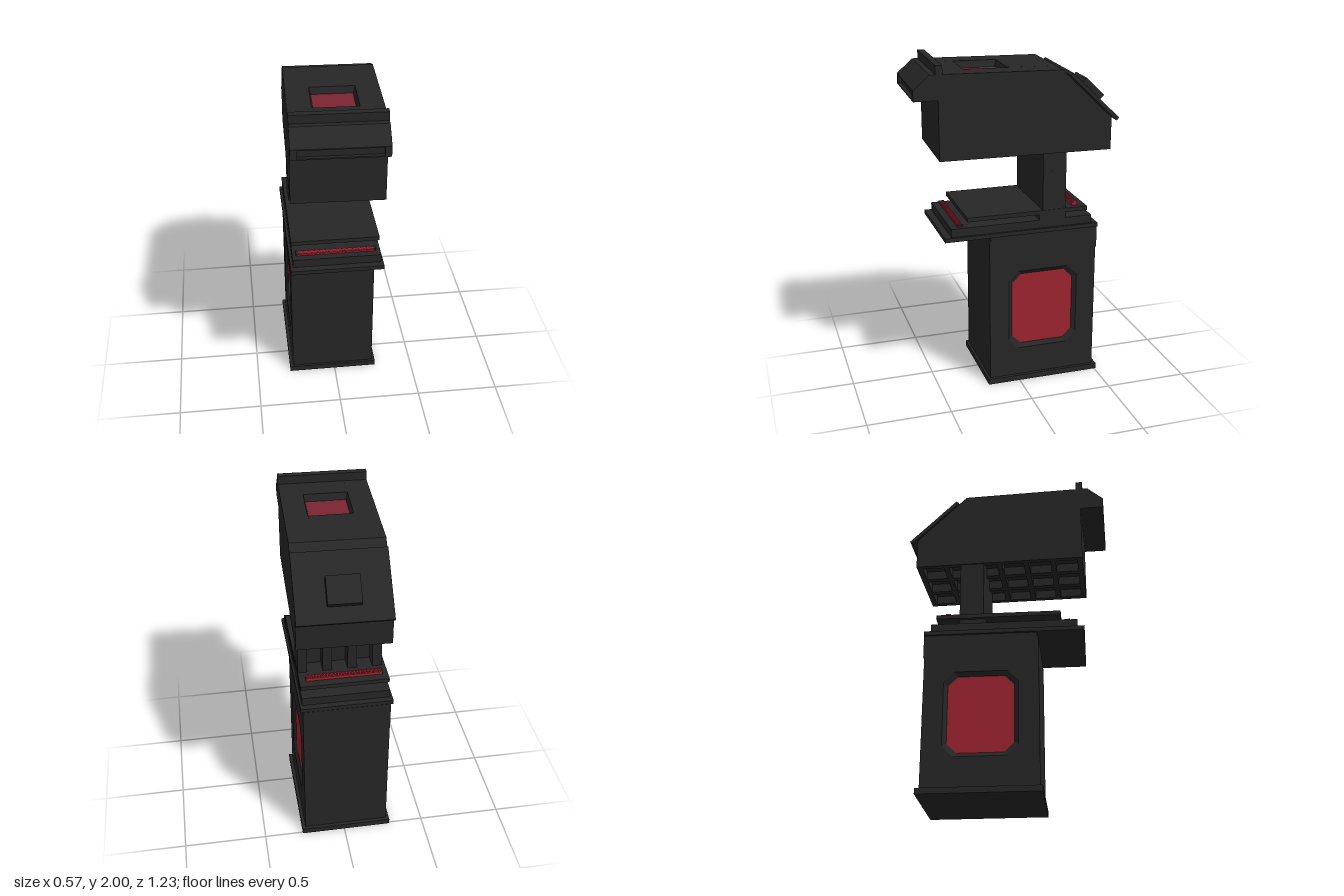
import * as THREE from 'three';

const mat = (name, color) => {
  const m = new THREE.MeshStandardMaterial({ color });
  m.name = name;
  return m;
};

export function createModel() {
  const dark = mat('charcoal', 0x262627);
  const red = mat('red', 0x9c2330);
  const dimRed = mat('dim red', 0x7a2531);
  const root = new THREE.Group();
  root.name = 'kiosk';

  const add = (parent, name, geometry, material = dark) => {
    const mesh = new THREE.Mesh(geometry, material);
    mesh.name = name;
    parent.add(mesh);
    return mesh;
  };
  const group = (parent, name) => {
    const g = new THREE.Group();
    g.name = name;
    parent.add(g);
    return g;
  };
  // Box given by its limits on each axis
  const box = (parent, name, [x0, x1], [y0, y1], [z0, z1], material = dark) => {
    const g = new THREE.BoxGeometry(x1 - x0, y1 - y0, z1 - z0);
    g.translate((x0 + x1) / 2, (y0 + y1) / 2, (z0 + z1) / 2);
    return add(parent, name, g, material);
  };
  const shapeOf = (pts) => new THREE.Shape(pts.map(([x, y]) => new THREE.Vector2(x, y)));
  const extrude = (shape, depth) => new THREE.ExtrudeGeometry(shape, { depth, bevelEnabled: false });
  // Outline in (z, y), extruded between two x positions
  const slab = (shape, x0, x1) => extrude(shape, x1 - x0).rotateY(-Math.PI / 2).translate(x1, 0, 0);
  const rect = (x0, x1, y0, y1) => [[x0, y0], [x1, y0], [x1, y1], [x0, y1]];
  const octagon = (w, h, c) => [
    [-w + c, -h], [w - c, -h], [w, -h + c], [w, h - c],
    [w - c, h], [-w + c, h], [-w, h - c], [-w, -h + c],
  ];
  // Sloped rim from an outer outline down to an inner one
  const rim = (outer, inner, depth) => {
    const p = [];
    outer.forEach((a, i) => {
      const j = (i + 1) % outer.length;
      const [b, c, d] = [outer[j], inner[j], inner[i]];
      p.push(...a, 0, ...b, 0, ...c, -depth, ...a, 0, ...c, -depth, ...d, -depth);
    });
    const g = new THREE.BufferGeometry();
    g.setAttribute('position', new THREE.Float32BufferAttribute(p, 3));
    g.computeVertexNormals();
    return g;
  };
  // Recess with a coloured floor, facing local +z
  const recess = (parent, name, outer, inner, depth, material) => {
    const g = group(parent, name);
    add(g, name + 'Rim', rim(outer, inner, depth));
    add(g, name + 'Floor', new THREE.ShapeGeometry(shapeOf(inner)), material).position.z = -depth;
    return g;
  };

  // Cabinet
  const cx = -0.0125;
  const cabinet = group(root, 'cabinet');
  box(cabinet, 'plinth', [-0.29, 0.265], [0, 0.035], [-0.51, 0.2]);
  box(cabinet, 'cabinetCore', [cx - 0.237, cx + 0.237], [0.03, 0.94], [-0.488, 0.185]);
  box(cabinet, 'cabinetNeck', [cx - 0.2575, cx + 0.2575], [0.94, 0.97], [-0.488, 0.177]);
  box(cabinet, 'backBand', [cx - 0.2575, cx + 0.2575], [0.83, 0.97], [-0.494, -0.48]);
  const outerOct = octagon(0.217, 0.257, 0.062);
  const innerOct = octagon(0.193, 0.232, 0.058);
  const wall = shapeOf(rect(-0.488, 0.185, 0.03, 0.94));
  wall.holes.push(new THREE.Path(outerOct.map(([x, y]) => new THREE.Vector2(x - 0.152, y + 0.472))));
  for (const s of [1, -1]) {
    const edge = cx + s * 0.2575;
    const skin = cx + s * 0.237;
    add(cabinet, 'sideWall', slab(wall, Math.min(edge, skin), Math.max(edge, skin)));
    const panel = recess(cabinet, 'sidePanel', outerOct, innerOct, 0.018, red);
    panel.position.set(edge, 0.472, -0.152);
    panel.rotation.y = s * Math.PI / 2;
  }

  // Stepped trays
  const trays = group(root, 'trays');
  box(trays, 'lowerTray', [-0.285, 0.258], [0.967, 0.992], [-0.492, 0.456]);
  box(trays, 'middleTray', [-0.27, 0.245], [0.992, 1.042], [-0.455, 0.415]);
  box(trays, 'spacer', [-0.25, 0.245], [1.04, 1.08], [-0.29, -0.125]);
  box(trays, 'upperTray', [-0.272, 0.248], [1.077, 1.102], [-0.425, 0.318]);

  // Ridged strips on the trays
  const strip = (name, y, z, h) => {
    const g = group(root, name);
    box(g, 'stripBed', [-0.24, 0.21], [y, y + h * 0.7], [z - 0.017, z + 0.017], red);
    const n = 28;
    for (let i = 0; i < n; i++) {
      const x = -0.24 + 0.45 * (i + 0.25) / n;
      box(g, 'stripRidge', [x, x + 0.008], [y, y + h], [z - 0.014, z + 0.014], red);
    }
    return g;
  };
  const front = strip('frontStrip', 1.042, 0.355, 0.014);
  for (const x of [-0.25, 0.21]) box(front, 'stripCap', [x, x + 0.01], [1.042, 1.056], [0.338, 0.372]);
  strip('backStrip', 1.102, -0.358, 0.026);

  // Column with ribs on its back
  const column = group(root, 'column');
  box(column, 'columnWall', [-0.25, 0.245], [1.1, 1.5], [-0.2, -0.145]);
  for (let i = 0; i < 4; i++) {
    const x = -0.25 + i * 0.1467;
    box(column, 'columnRib', [x, x + 0.055], [1.1, 1.5], [-0.288, -0.2]);
  }

  // Head, turned slightly on the column
  const head = group(root, 'head');
  head.rotation.y = -0.032;
  const profile = (slot, well) => shapeOf([
    [-0.557, 1.51], [0.467, 1.51], [0.467, 1.805], [0.607, 1.805],
    ...(slot ? [[0.607, 1.813], [0.585, 1.813], [0.585, 1.86], [0.607, 1.86]] : []),
    [0.607, 1.867], [0.512, 1.95],
    ...(well ? [[0.295, 1.947], [0.295, 1.89], [0.035, 1.89], [0.035, 1.944]] : []),
    [-0.252, 1.94], [-0.557, 1.645],
  ]);
  const cuts = [-0.265, -0.23, -0.13, 0.13, 0.23, 0.265];
  for (let i = 0; i < 5; i++) {
    add(head, 'headShell', slab(profile(i > 0 && i < 4, i === 2), cuts[i], cuts[i + 1]));
  }
  box(head, 'crest', [-0.265, 0.265], [1.94, 2], [0.44, 0.48]);

  // Sunken window on top
  const square = (h) => rect(-h, h, -h, h);
  const well = recess(head, 'topWindow', square(0.13), square(0.119), 0.04, dimRed);
  well.position.set(0, 1.944, 0.165);
  well.rotation.x = -Math.PI / 2;

  // Underside with a grid of pockets
  const under = shapeOf(rect(-0.265, 0.265, -0.467, 0.557));
  for (let i = 0; i < 3; i++) {
    for (let j = 0; j < 6; j++) {
      const x = (i - 1) * 0.167;
      const y = 0.045 + (j - 2.5) * 0.165;
      const hole = rect(x - 0.066, x + 0.066, y - 0.066, y + 0.066);
      under.holes.push(new THREE.Path(hole.map(([a, b]) => new THREE.Vector2(a, b))));
    }
  }
  add(head, 'underside', extrude(under, 0.055).rotateX(-Math.PI / 2)).position.y = 1.455;

  // Raised hatch over the sloping back
  const hatch = group(head, 'backHatch');
  hatch.position.set(0, 1.772, -0.453);
  hatch.rotation.x = -0.766;
  box(hatch, 'hatchPlate', [-0.265, 0.265], [-0.011, 0.011], [-0.2, 0.2]);
  box(hatch, 'hatchBlock', [-0.093, 0.093], [0.011, 0.062], [-0.108, 0.05]);

  return root;
}
